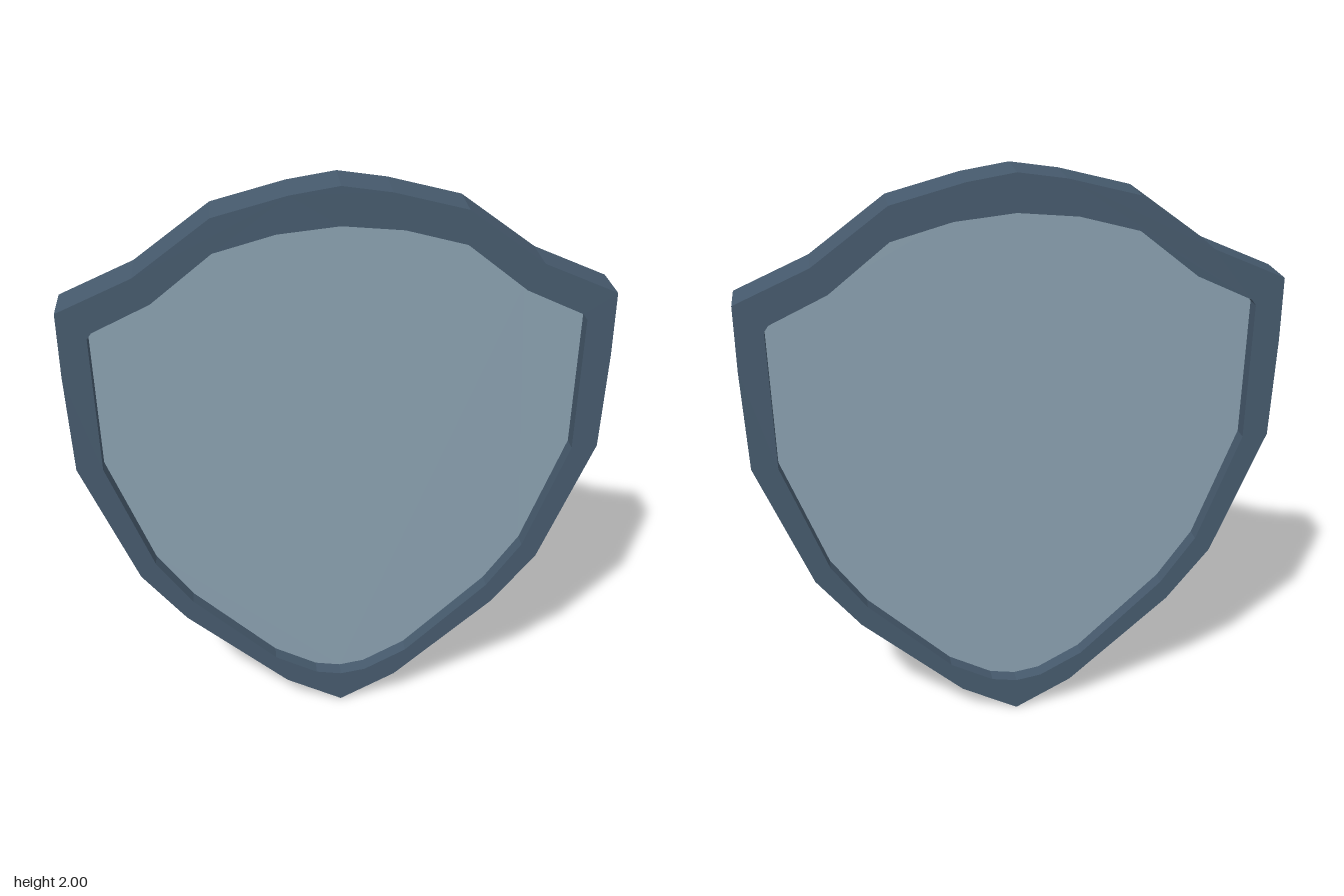
import * as THREE from 'three';

const DEPTH = 0.158; // rim thickness
const PANEL = 0.052; // panel thickness, recessed on both sides

// Right half profiles from top centre to bottom centre
const OUTER = [[0, 2], [0.16, 1.975], [0.4, 1.912], [0.65, 1.727], [0.897, 1.618], [0.897, 1.4],
  [0.885, 1.055], [0.705, 0.61], [0.555, 0.42], [0.2, 0.105], [0, 0]];
const INNER = [[0, 1.873], [0.2, 1.853], [0.4, 1.798], [0.6, 1.638], [0.79, 1.548], [0.805, 1.527],
  [0.797, 1.05], [0.65, 0.66], [0.53, 0.49], [0.24, 0.215], [0.09, 0.135], [0, 0.12]];

// Mirror a half profile into a closed clockwise outline
function outline(half) {
  const left = half.slice(1, -1).reverse().map(([x, y]) => [-x, y]);
  return [...half, ...left].map(([x, y]) => new THREE.Vector2(x, y));
}

// Extrude a shape centred on z = 0
function slab(name, shape, depth, material) {
  const geometry = new THREE.ExtrudeGeometry(shape, { depth, bevelEnabled: false });
  geometry.translate(0, 0, -depth / 2);
  const mesh = new THREE.Mesh(geometry, material);
  mesh.name = name;
  return mesh;
}

export function createModel() {
  const group = new THREE.Group();
  group.name = 'shield';
  const rimMaterial = new THREE.MeshStandardMaterial({ color: 0x465a6d });
  rimMaterial.name = 'dark slate';
  const panelMaterial = new THREE.MeshStandardMaterial({ color: 0x8aa0af });
  panelMaterial.name = 'pale slate';

  // Raised border; the opening winds counter-clockwise so its walls face inward
  const rim = new THREE.Shape(outline(OUTER));
  rim.holes.push(new THREE.Path(outline(INNER).reverse()));
  group.add(slab('rim', rim, DEPTH, rimMaterial));

  // Recessed flat panel
  group.add(slab('panel', new THREE.Shape(outline(INNER)), PANEL, panelMaterial));
  return group;
}
